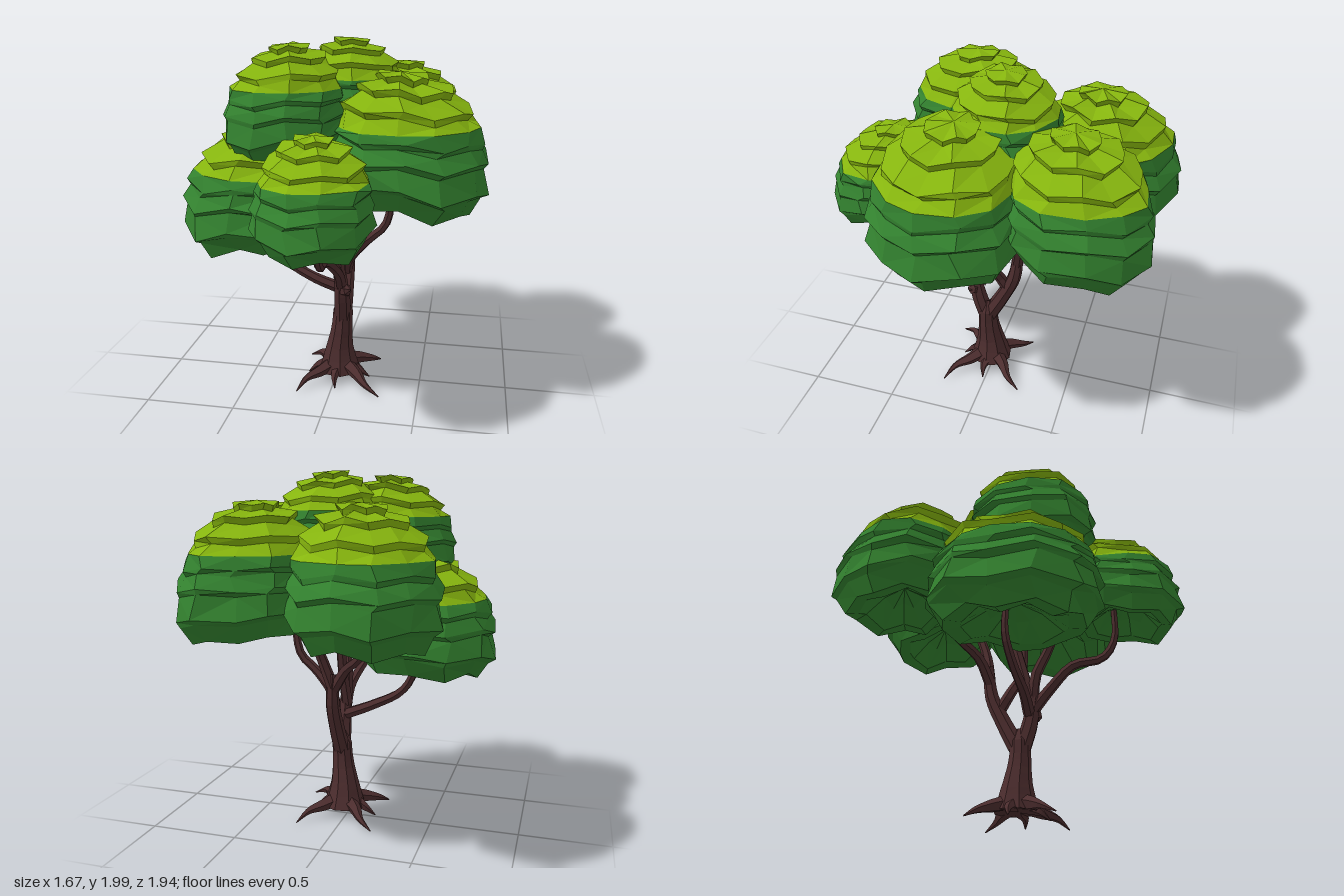
import * as THREE from 'three';

const bark = new THREE.MeshStandardMaterial({ color: 0x4c2d2e });
bark.name = 'bark';
const leafDark = new THREE.MeshStandardMaterial({ color: 0x33822f });
leafDark.name = 'dark leaf green';
const leafLight = new THREE.MeshStandardMaterial({ color: 0x86b50e });
leafLight.name = 'light leaf green';

// small seeded random, -1..1
let seed = 7;
const rnd = () => {
  seed = (seed * 16807) % 2147483647;
  return (seed / 2147483647) * 2 - 1;
};

// flat-faced mesh
function facet(geo, material, name) {
  const g = geo.index ? geo.toNonIndexed() : geo;
  g.computeVertexNormals();
  const mesh = new THREE.Mesh(g, material);
  mesh.name = name;
  return mesh;
}

// tube whose radius follows a list of values along its length
function limb(name, points, radii, sides = 7) {
  const curve = new THREE.CatmullRomCurve3(points.map(p => new THREE.Vector3(...p)));
  const seg = points.length * 3;
  const geo = new THREE.TubeGeometry(curve, seg, 1, sides);
  const pos = geo.attributes.position;
  const v = new THREE.Vector3();
  for (let i = 0; i <= seg; i++) {
    const c = curve.getPointAt(i / seg);
    const f = (i / seg) * (radii.length - 1);
    const k = Math.min(Math.floor(f), radii.length - 2);
    const r = THREE.MathUtils.lerp(radii[k], radii[k + 1], f - k);
    for (let j = 0; j <= sides; j++) {
      const n = i * (sides + 1) + j;
      v.fromBufferAttribute(pos, n).sub(c).multiplyScalar(r).add(c);
      pos.setXYZ(n, v.x, v.y, v.z);
    }
  }
  return facet(geo, bark, name);
}

// shingled dome profile from top to underside: radius, height, zigzag amount
const PROFILE = [
  [0, 0.99, 0], [0.33, 0.965, 0.02], [0.29, 0.92, 0.02],
  [0.6, 0.885, 0.025], [0.56, 0.835, 0.025],
  [0.82, 0.75, 0.025], [0.78, 0.7, 0.025],
  [0.89, 0.61, 0],
  [0.94, 0.54, 0.025], [0.9, 0.5, 0.025],
  [0.99, 0.4, 0.03], [0.94, 0.36, 0.03],
  [1, 0.22, 0.035], [0.93, 0.18, 0.035],
  [0.8, 0.04, 0.04], [0.6, 0.05, 0.04], [0.33, 0.18, 0.03], [0, 0.25, 0],
];
const SPLIT = 7;

function clump(name, x, z, rx, rz, y0, y1, sides = 12) {
  const group = new THREE.Group();
  group.name = name;
  const height = y1 - y0;
  const lump = Array.from({ length: sides }, () => 1 + 0.05 * rnd());
  const wave = Array.from({ length: sides }, (_, j) => (j % 2 ? 0.7 : -0.7) + 0.5 * rnd());
  const turn = rnd();
  const away = Math.hypot(x, z);
  const rings = PROFILE.map(([r, t, zig]) => {
    const ring = [];
    // the dome's peak leans towards the trunk
    const lean = 1 - 0.11 * Math.max(0, t - 0.4) / 0.6;
    // the outer side of the crown hangs lower
    const droop = t < 0.3 ? 0.12 : zig ? 0.05 : 0;
    for (let j = 0; j < sides; j++) {
      const a = turn + (j / sides) * Math.PI * 2 + (r ? 0.07 * rnd() : 0);
      const k = r * lump[j] * (1 + 0.03 * rnd());
      const dx = Math.cos(a) * rx * k, dz = Math.sin(a) * rz * k;
      const y = y0 + t * height + zig * height * wave[j] - droop * (dx * x + dz * z) / away;
      ring.push([x * lean + dx, y, z * lean + dz]);
    }
    return ring;
  });
  const build = (from, to, material, part) => {
    const out = [];
    for (let i = from; i < to; i++) {
      for (let j = 0; j < sides; j++) {
        const n = (j + 1) % sides;
        const a = rings[i][j], b = rings[i][n], c = rings[i + 1][j], d = rings[i + 1][n];
        if (i === 0) out.push(a, d, c);
        else if (i === rings.length - 2) out.push(a, b, c);
        else if (j % 2) out.push(a, b, c, b, d, c);
        else out.push(a, d, c, a, b, d);
      }
    }
    const geo = new THREE.BufferGeometry();
    geo.setAttribute('position', new THREE.Float32BufferAttribute(out.flat(), 3));
    group.add(facet(geo, material, part));
  };
  build(0, SPLIT, leafLight, name + 'Top');
  build(SPLIT, rings.length - 1, leafDark, name + 'Skirt');
  return group;
}

export function createModel() {
  seed = 7;
  const tree = new THREE.Group();
  tree.name = 'tree';

  // trunk with flared foot, closing inside the forks
  tree.add(limb('trunk',
    [[0.02, 0.06, 0.01], [0.02, 0.19, 0.015], [0.035, 0.34, 0.025], [0.045, 0.52, 0.025]],
    [0.125, 0.1, 0.08, 0.067, 0.06, 0.058, 0.02], 9));
  const foot = new THREE.CircleGeometry(0.125, 9);
  foot.rotateX(Math.PI / 2);
  foot.translate(0.02, 0.062, 0.01);
  tree.add(facet(foot, bark, 'trunkFoot'));

  // roots spreading over the ground: angle, reach
  const roots = [[0.75, 0.35], [2.3, 0.33], [3.95, 0.31], [5.5, 0.32], [1.6, 0.18], [3.15, 0.19], [0.05, 0.18]];
  for (const [a, reach] of roots) {
    const at = (f, y, bend = 0) => [0.02 + Math.cos(a + bend) * reach * f, y, 0.01 + Math.sin(a + bend) * reach * f];
    tree.add(limb('root',
      [at(0.2, 0.1), at(0.45, 0.08), at(0.72, 0.055, 0.06), at(1, 0.01, -0.03)],
      [0.045, 0.034, 0.018, 0.003], 5));
  }

  // two main forks
  tree.add(limb('frontFork', [[0.04, 0.4, 0.035], [0.045, 0.54, 0.08], [0.04, 0.7, 0.11]], [0.05, 0.046, 0.034]));
  tree.add(limb('backFork',
    [[0.04, 0.4, 0.02], [0.045, 0.56, -0.065], [0.045, 0.72, -0.135], [0.035, 0.9, -0.155]],
    [0.052, 0.045, 0.04, 0.03]));
  tree.add(limb('knot', [[0.045, 0.6, 0.1], [0.07, 0.6, 0.11], [0.09, 0.605, 0.12], [0.1, 0.605, 0.12]],
    [0.035, 0.036, 0.034, 0.002], 6));

  // branches reaching into the foliage
  const branches = {
    lowRightBranch: [[0.03, 0.6, 0.08], [-0.13, 0.665, 0.09], [-0.31, 0.77, 0.07], [-0.38, 0.9, 0.05], [-0.36, 1.1, 0.05]],
    frontBranch: [[0.04, 0.62, 0.1], [0.04, 0.74, 0.2], [0.0, 0.85, 0.34], [0.0, 0.875, 0.5], [0.0, 0.97, 0.57], [0.0, 1.2, 0.58]],
    leftBranch: [[0.04, 0.62, -0.1], [0.07, 0.74, -0.04], [0.18, 0.87, -0.01], [0.28, 0.97, -0.01], [0.32, 1.28, 0.0]],
    frontCrownBranch: [[0.04, 0.64, 0.1], [0.03, 0.82, 0.12], [0.06, 0.97, 0.18], [0.07, 1.16, 0.24], [-0.12, 1.55, 0.2]],
    crownBranch: [[0.03, 0.66, 0.1], [0.04, 0.88, 0.04], [0.04, 1.1, -0.01], [0.05, 1.62, -0.06]],
    backRightBranch: [[0.035, 0.8, -0.145], [-0.05, 0.93, -0.19], [-0.17, 1.04, -0.3], [-0.28, 1.3, -0.44]],
    backLeftBranch: [[0.04, 0.82, -0.15], [0.09, 0.98, -0.18], [0.13, 1.12, -0.23], [0.24, 1.42, -0.38]],
  };
  for (const [name, points] of Object.entries(branches))
    tree.add(limb(name, points, [0.034, 0.028, 0.023, 0.017], 6));

  // foliage clumps: centre x, z, radii x, z, bottom and top height
  tree.add(clump('rightClump', -0.39, 0.11, 0.44, 0.48, 0.9, 1.58, 13));
  tree.add(clump('frontClump', -0.01, 0.65, 0.31, 0.32, 1.03, 1.58, 11));
  tree.add(clump('leftClump', 0.4, 0.1, 0.43, 0.42, 1.13, 1.84, 13));
  tree.add(clump('backRightClump', -0.26, -0.58, 0.38, 0.39, 1.15, 1.84));
  tree.add(clump('backLeftClump', 0.36, -0.55, 0.355, 0.375, 1.18, 1.85));
  tree.add(clump('frontCrownClump', -0.255, 0.175, 0.335, 0.375, 1.4, 1.98, 11));
  tree.add(clump('crownClump', 0.07, -0.09, 0.31, 0.31, 1.46, 2.0, 11));
  return tree;
}
